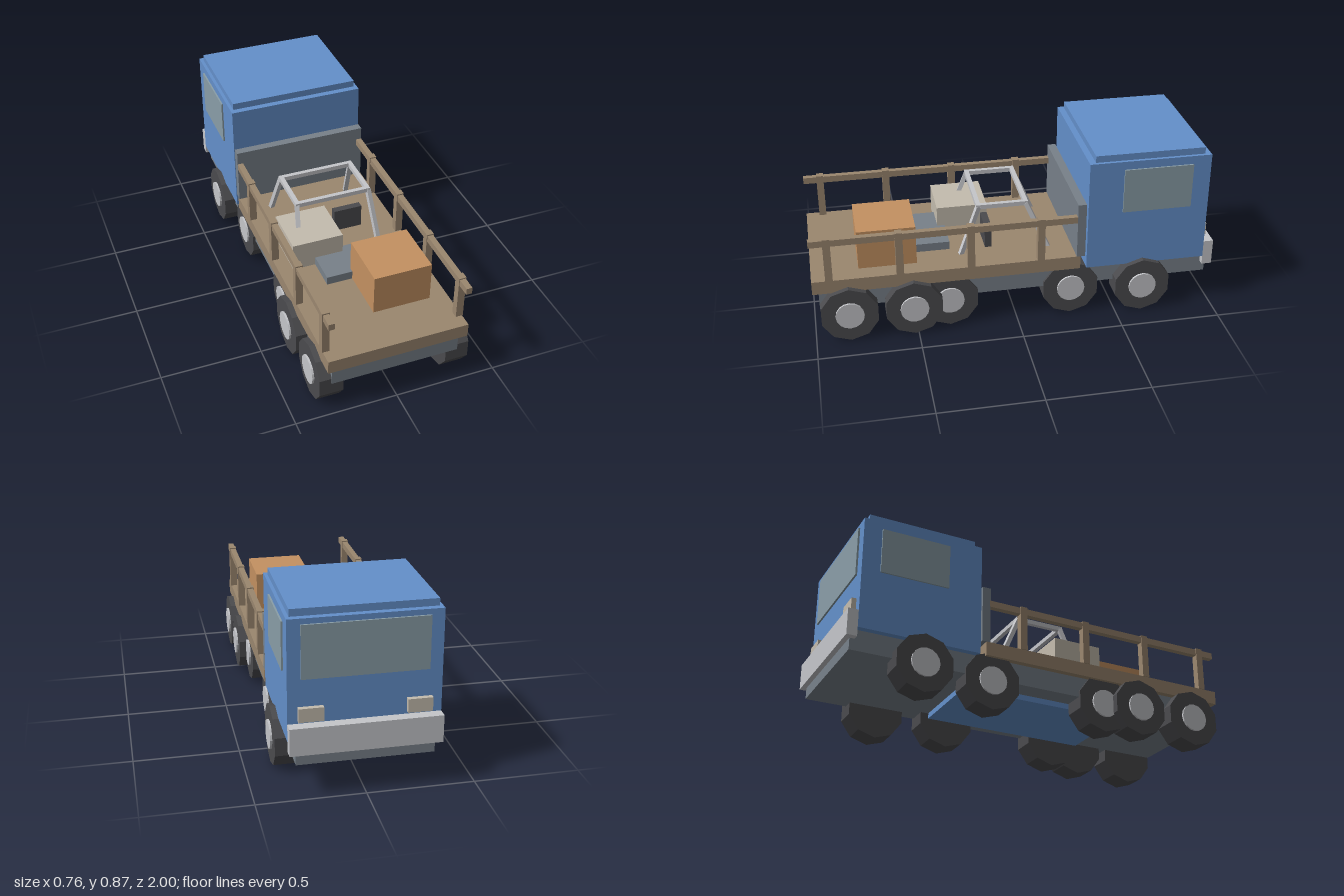
import * as THREE from 'three';

const mat = (name, color) => Object.assign(new THREE.MeshStandardMaterial({ color }), { name });

export function createModel() {
  const blue = mat('cab blue', 0x6490cb);
  const glass = mat('window glass', 0x8a9ea8);
  const wood = mat('deck wood', 0x9b876f);
  const orange = mat('crate orange', 0xc49161);
  const cream = mat('cream', 0xc4bcae);
  const grey = mat('chassis grey', 0x78818a);
  const rubber = mat('tyre rubber', 0x4b4b4e);
  const metal = mat('light metal', 0xc5c6ca);

  const model = new THREE.Group();
  model.name = 'flatbedTruck';

  // Box given by its minimum and maximum on each axis
  const box = (name, material, [x0, x1], [y0, y1], [z0, z1]) => {
    const mesh = new THREE.Mesh(new THREE.BoxGeometry(x1 - x0, y1 - y0, z1 - z0), material);
    mesh.position.set((x0 + x1) / 2, (y0 + y1) / 2, (z0 + z1) / 2);
    mesh.name = name;
    model.add(mesh);
    return mesh;
  };
  // Box mirrored to both sides
  const pair = (name, material, [x0, x1], y, z) => {
    box(name + 'Left', material, [x0, x1], y, z);
    box(name + 'Right', material, [-x1, -x0], y, z);
  };

  // Chassis and underbody
  box('chassis', grey, [-0.314, 0.314], [0.153, 0.256], [-0.975, 0.97]);
  box('underbody', blue, [-0.212, 0.212], [0.125, 0.28], [-0.37, 0.48]);

  // Cab
  box('cab', blue, [-0.345, 0.345], [0.256, 0.826], [-0.95, -0.346]);
  box('roof', blue, [-0.329, 0.329], [0.826, 0.86], [-0.92, -0.377]);
  box('windscreen', glass, [-0.285, 0.285], [0.55, 0.8], [-0.959, -0.95]);
  pair('sideWindow', glass, [0.345, 0.353], [0.556, 0.784], [-0.86, -0.517]);
  box('bumper', metal, [-0.345, 0.345], [0.21, 0.341], [-1, -0.95]);
  pair('headlight', cream, [0.187, 0.3], [0.355, 0.42], [-0.973, -0.95]);

  // Deck, headboard and side rails
  box('deck', wood, [-0.344, 0.344], [0.256, 0.325], [-0.315, 1]);
  box('headboard', grey, [-0.344, 0.344], [0.325, 0.612], [-0.338, -0.296]);
  pair('rail', wood, [0.315, 0.344], [0.514, 0.547], [-0.3, 1]);
  for (const z of [-0.117, 0.229, 0.575, 0.915]) {
    pair('railPost', wood, [0.312, 0.348], [0.325, 0.553], [z - 0.018, z + 0.018]);
  }

  // Cargo
  box('orangeCrate', orange, [-0.031, 0.256], [0.325, 0.526], [0.485, 0.77]);
  box('creamCrate', cream, [-0.273, -0.016], [0.325, 0.467], [0.093, 0.348]);
  box('flatCase', grey, [-0.16, 0.155], [0.325, 0.367], [0.31, 0.51]);
  box('darkPanel', rubber, [0.025, 0.17], [0.325, 0.444], [0.1, 0.134]);

  // Tubular frame: a square top ring on four splayed legs
  const bar = (name, a, b) => {
    const start = new THREE.Vector3(...a), end = new THREE.Vector3(...b);
    const mesh = new THREE.Mesh(new THREE.BoxGeometry(0.022, 0.022, start.distanceTo(end)), metal);
    mesh.position.copy(start).add(end).multiplyScalar(0.5);
    mesh.lookAt(end);
    mesh.name = name;
    model.add(mesh);
  };
  const top = 0.569, zBack = -0.068, zFront = 0.168;
  for (const s of [-1, 1]) {
    bar('frameSideBar', [s * 0.185, top, zBack], [s * 0.185, top, zFront]);
    bar('frameLeg', [s * 0.187, top, zBack], [s * 0.208, 0.32, -0.178]);
    bar('frameLeg', [s * 0.187, top, zFront], [s * 0.208, 0.32, 0.262]);
  }
  for (const z of [zBack, zFront]) bar('frameCrossBar', [-0.196, top, z], [0.196, top, z]);

  // Wheels: ten-sided tyres with round hubs, two axles set further in
  const radius = 0.1446, axleY = 0.1375, width = 0.115;
  const disc = (r, h, sides) => {
    const g = new THREE.CylinderGeometry(r, r, h, sides).toNonIndexed();
    g.rotateZ(Math.PI / 2);
    g.computeVertexNormals();
    return g;
  };
  const tyreGeometry = disc(radius, width, 10);
  // Turn so that a flat side rests on the ground
  tyreGeometry.rotateX(Math.PI / 2);
  const hubGeometry = disc(0.07, 0.02, 16);
  const axles = [[0.83, 0.372], [0.516, 0.372], [0.335, 0.328], [-0.273, 0.328], [-0.632, 0.372]];
  for (const [z, outer] of axles) {
    for (const s of [-1, 1]) {
      const wheel = new THREE.Group();
      wheel.name = 'wheel';
      const tyre = new THREE.Mesh(tyreGeometry, rubber);
      tyre.name = 'tyre';
      const hub = new THREE.Mesh(hubGeometry, metal);
      hub.name = 'hub';
      hub.position.x = s * width / 2;
      wheel.add(tyre, hub);
      wheel.position.set(s * (outer - width / 2), axleY, z);
      model.add(wheel);
    }
  }
  return model;
}
